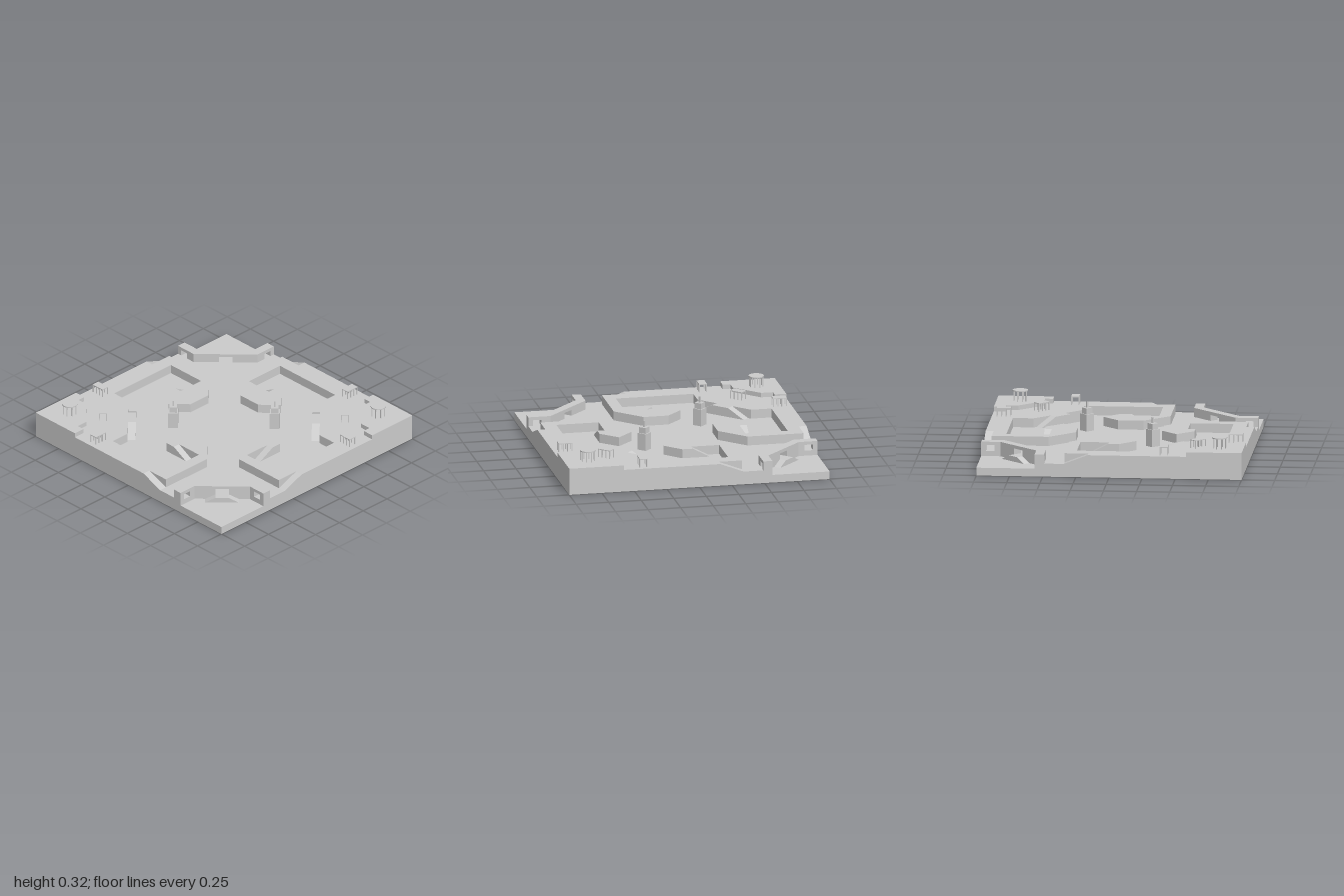
import * as THREE from 'three';
import { ConvexGeometry } from 'three/addons/geometries/ConvexGeometry.js';

const FLOOR = 0.1, PLATEAU = 0.17, TERRACE = 0.205, BASE = 0.06;
const material = new THREE.MeshStandardMaterial({ color: 0xcccccc, flatShading: true });

function add(group, name, geometry) {
  const mesh = new THREE.Mesh(geometry, material);
  mesh.name = name;
  group.add(mesh);
  return mesh;
}

// Vertical prism over an [x, z] outline, from y0 to y1
function prism(outline, y0, y1) {
  const shape = new THREE.Shape(outline.map(([x, z]) => new THREE.Vector2(x, -z)));
  const g = new THREE.ExtrudeGeometry(shape, { depth: y1 - y0, bevelEnabled: false });
  return g.rotateX(-Math.PI / 2).translate(0, y0, 0);
}

// Sloped wedge: two corners at the top of the slope, two at its foot
function ramp(high, low, yHigh, yLow) {
  const pts = [];
  for (const [x, z] of high) pts.push(new THREE.Vector3(x, yHigh, z), new THREE.Vector3(x, yLow - 0.01, z));
  for (const [x, z] of low) pts.push(new THREE.Vector3(x, yLow, z), new THREE.Vector3(x, yLow - 0.01, z));
  return new ConvexGeometry(pts);
}

const flip = ([x, z]) => [-z, -x]; // mirror across the plateau corner's diagonal
const swap = ([x, z]) => [z, x]; // mirror across the base corner's diagonal
const mirrored = (half, f) => [...half, ...half.map(f).reverse()];

// Plateau with its hooked walls, and the ramps that lead down to the lanes
function buildPlateau(group) {
  const half = [
    [-0.4175, 0.5175], [-0.46, 0.56], [-0.34, 0.68], [-0.34, 0.835], [0.255, 0.835],
    [0.255, 0.51], [0.04, 0.51], [0.04, 0.565], [-0.04, 0.565], [-0.16, 0.44],
    [-0.04, 0.32], [0.15, 0.32], [0.34, 0.51], [0.34, 0.94], [0.16, 0.94], [0.16, 1], [-1, 1],
  ];
  add(group, 'plateau', prism([...half, ...half.slice(0, -1).map(flip).reverse()], FLOOR, PLATEAU));

  const terrace = [
    [-1, 1], [-0.58, 1], [-0.58, 0.91], [-0.64, 0.91], [-0.64, 0.82],
    [-0.82, 0.64], [-0.91, 0.64], [-0.91, 0.58], [-1, 0.58],
  ];
  add(group, 'terrace', prism(terrace, PLATEAU, TERRACE));

  const ramps = {
    courtyardRamp: [[[-0.4175, 0.5175], [-0.46, 0.56]], [[-0.3175, 0.6175], [-0.36, 0.66]]],
    hookRamp: [[[0.04, 0.51], [0.04, 0.565]], [[0.17, 0.51], [0.17, 0.565]]],
    edgeRamp: [[[0.16, 0.94], [0.16, 1]], [[0.34, 0.94], [0.34, 1]]],
  };
  for (const [name, [high, low]] of Object.entries(ramps)) {
    add(group, name, ramp(high, low, PLATEAU, FLOOR));
    add(group, name, ramp(high.map(flip), low.map(flip), PLATEAU, FLOOR));
  }
}

// Sunken corner base, its wall with three openings, and the ramps behind the gate
function buildBase(group) {
  add(group, 'baseFloor', prism([[0.5, 1], [0.5, 0.84], [0.84, 0.5], [1, 0.5], [1, 1]], 0, BASE));
  const outer = [[0.49, 1], [0.49, 0.83], [0.83, 0.49], [1, 0.49]];
  const inner = [[1, 0.56], [0.855, 0.56], [0.56, 0.855], [0.56, 1]];
  add(group, 'baseWallFoot', prism([...outer, ...inner], 0, FLOOR));
  add(group, 'baseWallLintel', prism([...outer, ...inner], 0.145, PLATEAU));
  const piers = [
    [[0.49, 1], [0.49, 0.965], [0.56, 0.965], [0.56, 1]],
    [[0.49, 0.9], [0.49, 0.83], [0.625, 0.695], [0.6725, 0.7425], [0.56, 0.855], [0.56, 0.9]],
  ];
  for (const pier of piers) {
    add(group, 'baseWallPier', prism(pier, FLOOR, 0.145));
    add(group, 'baseWallPier', prism(pier.map(swap), FLOOR, 0.145));
  }
  // Landing in front of the gate, sloping down along the wall on both sides
  const top = mirrored([[0.6725, 0.7425], [0.71, 0.78]], swap);
  const foot = mirrored([[0.6175, 0.7975], [0.655, 0.835]], swap);
  add(group, 'gateRamp', ramp(top, foot, FLOOR, BASE));
}

// Square stepped tower standing on its diagonal
function buildTower(group) {
  const tower = new THREE.Group();
  tower.name = 'tower';
  tower.position.set(-0.27, FLOOR, 0.27);
  const tiers = [[0.053, 0.053, 0, 0.13], [0.04, 0.04, 0.13, 0.175], [0.008, 0.008, 0.175, 0.22]];
  for (const [rTop, rBottom, y0, y1] of tiers) {
    add(tower, 'towerTier', new THREE.CylinderGeometry(rTop, rBottom, y1 - y0, 4).translate(0, (y0 + y1) / 2, 0));
  }
  group.add(tower);
}

// Open shelter: posts under a thin rectangular roof
function buildShelter(group, x, z, angle) {
  const shelter = new THREE.Group();
  shelter.name = 'shelter';
  shelter.position.set(x, PLATEAU, z);
  shelter.rotation.y = angle;
  const w = 0.105, d = 0.06, h = 0.065, t = 0.006;
  add(shelter, 'shelterRoof', new THREE.BoxGeometry(w, t, d).translate(0, h - t / 2, 0));
  for (const sx of [-1, -0.33, 0.33, 1]) {
    for (const sz of [-1, 1]) {
      add(shelter, 'shelterPost', new THREE.BoxGeometry(t, h - t, t)
        .translate(sx * (w - t) / 2, (h - t) / 2, sz * (d - t) / 2));
    }
  }
  group.add(shelter);
}

// Round pavilion on the terrace
function buildPavilion(group) {
  const pavilion = new THREE.Group();
  pavilion.name = 'pavilion';
  pavilion.position.set(-0.82, TERRACE, 0.82);
  add(pavilion, 'pavilionRoof', new THREE.CylinderGeometry(0.058, 0.058, 0.008, 24).translate(0, 0.081, 0));
  for (let i = 0; i < 8; i++) {
    const a = (i + 0.5) * Math.PI / 4;
    add(pavilion, 'pavilionPost', new THREE.CylinderGeometry(0.004, 0.004, 0.078, 6)
      .translate(0.05 * Math.cos(a), 0.039, 0.05 * Math.sin(a)));
  }
  group.add(pavilion);
}

export function createModel() {
  const model = new THREE.Group();
  model.name = 'arena';

  // Lane floor with both base corners cut away
  const ground = [[-1, 1], [0.49, 1], [0.49, 0.83], [0.83, 0.49], [1, 0.49]];
  add(model, 'laneFloor', prism([...ground, ...ground.map(([x, z]) => [-x, -z])], 0, FLOOR));

  const half = new THREE.Group();
  half.name = 'arenaHalf';
  buildPlateau(half);
  buildBase(half);
  buildTower(half);
  buildShelter(half, -0.91, 0.41, 0);
  buildShelter(half, -0.42, 0.91, Math.PI / 2);
  buildShelter(half, -0.643, 0.643, -Math.PI / 4);
  buildPavilion(half);
  model.add(half);

  // The other half is the same, turned half way round
  const opposite = half.clone();
  opposite.rotation.y = Math.PI;
  model.add(opposite);
  return model;
}
